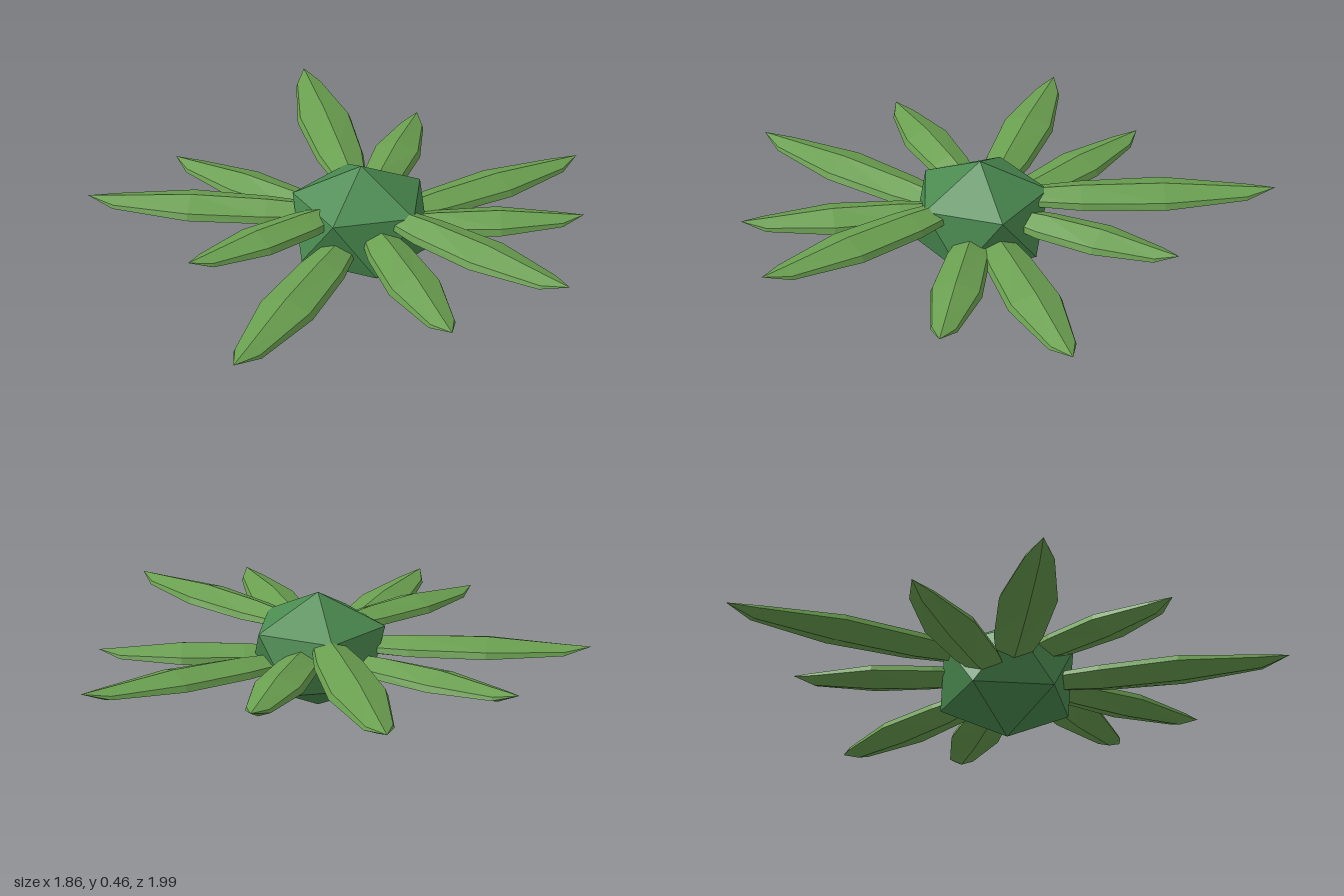
import * as THREE from 'three';
import { ConvexGeometry } from 'three/addons/geometries/ConvexGeometry.js';

const CENTER = [-0.06, 0.24, 0.07];

// Leaf pointing along +x: six-sided rings that swell, then close in a point
function leafGeometry(length) {
  const width = 0.06 + 0.043 * length;
  // cross-section (z, y), counter-clockwise about +x
  const section = [[0, 1], [0.9, 0.3], [1, -0.25], [0, -1], [-1, -0.25], [-0.9, 0.3]];
  // fraction of length, half width, half height, centre height
  const rings = [
    [0.05, 0, 0, -0.02], [0.12, 0.5, 0.03, -0.025], [0.34, 0.86, 0.045, -0.025],
    [0.62, 1, 0.045, -0.02], [0.9, 0.5, 0.024, -0.018], [1, 0, 0, 0],
  ];
  const n = section.length;
  const positions = [];
  const index = [];
  rings.forEach(([f, w, h, y], i) => {
    section.forEach(([u, v], j) => {
      positions.push(f * length, y + v * h, u * w * width);
      if (i === rings.length - 1) return;
      const a = i * n + j;
      const b = i * n + (j + 1) % n;
      if (i > 0) index.push(a, b, b + n);
      if (i < rings.length - 2) index.push(a, b + n, a + n);
      else index.push(a, b, a + n);
    });
  });
  // first and last rings collapse to a point; drop zero-area triangles
  const kept = [];
  const point = (k) => new THREE.Vector3().fromArray(positions, k * 3);
  for (let k = 0; k < index.length; k += 3) {
    const t = index.slice(k, k + 3);
    if (new THREE.Triangle(...t.map(point)).getArea() > 1e-7) kept.push(...t);
  }
  const geometry = new THREE.BufferGeometry();
  geometry.setAttribute('position', new THREE.Float32BufferAttribute(positions, 3));
  geometry.setIndex(kept);
  geometry.computeVertexNormals();
  return geometry;
}

// Faceted core: a pole, two staggered rings of five, and a pole
function coreGeometry() {
  const points = [new THREE.Vector3(0, 0.23, 0), new THREE.Vector3(0, -0.23, 0)];
  for (let i = 0; i < 5; i++) {
    for (const s of [1, -1]) {
      const a = (i * 2 * Math.PI) / 5;
      points.push(new THREE.Vector3(s * 0.258 * Math.cos(a), s * 0.103, 0.258 * Math.sin(a)));
    }
  }
  return new ConvexGeometry(points);
}

export function createModel() {
  const model = new THREE.Group();
  model.name = 'succulentPlant';
  const leafMaterial = new THREE.MeshStandardMaterial({ color: 0x6a9f50, flatShading: true });
  const coreMaterial = new THREE.MeshStandardMaterial({ color: 0x4a8a50, flatShading: true });

  const core = new THREE.Mesh(coreGeometry(), coreMaterial);
  core.name = 'core';
  core.position.set(...CENTER);
  model.add(core);

  // Ten leaves in two interleaved sets of five, on three repeating levels
  const lengths = [0.99, 0.82, 1.12, 0.886, 1.04, 0.776, 1.07, 0.906, 0.968, 0.84];
  const levels = [0.245, 0.29, 0.34];
  lengths.forEach((length, i) => {
    const leaf = new THREE.Mesh(leafGeometry(length), leafMaterial);
    leaf.name = `leaf${i + 1}`;
    leaf.position.set(CENTER[0], levels[i % 3], CENTER[2]);
    leaf.rotation.y = THREE.MathUtils.degToRad(36 * i + (i % 2) * 7.5);
    model.add(leaf);
  });

  return model;
}
